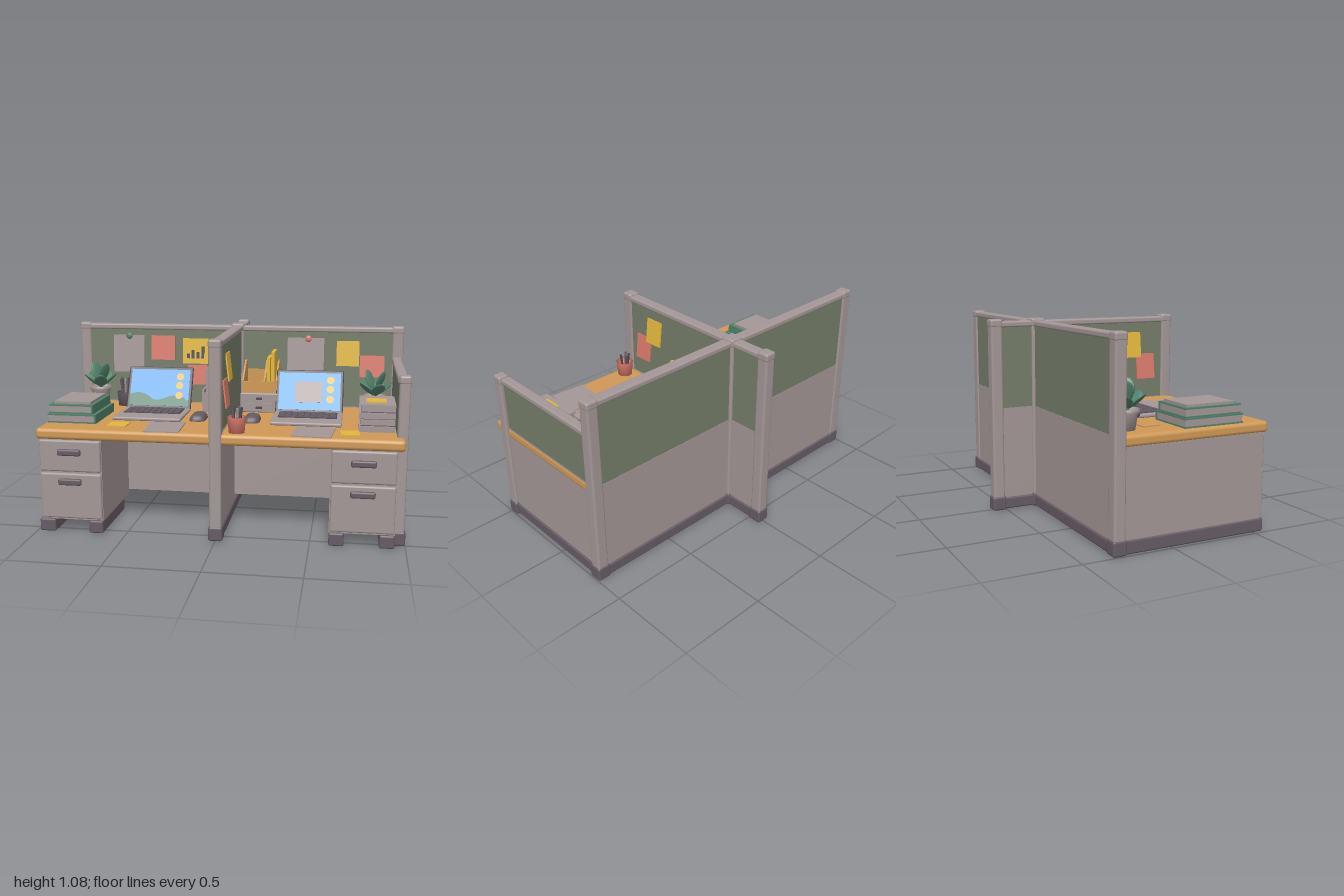
import * as THREE from 'three';
import { RoundedBoxGeometry } from 'three/addons/geometries/RoundedBoxGeometry.js';

const paint = (name, color) => Object.assign(new THREE.MeshStandardMaterial({ color }), { name });
const M = {
  grey: paint('warm grey', 0xa49797), base: paint('dark base grey', 0x665c64),
  felt: paint('sage felt', 0x767e6a), wood: paint('light wood', 0xd09955),
  dark: paint('charcoal', 0x4e4a52), yellow: paint('yellow', 0xe2b83b),
  red: paint('coral red', 0xda7a6b), blue: paint('screen blue', 0x5ca8ec),
  leaf: paint('leaf green', 0x51826b),
};
const TOP = 0.585; // desk surface
const points = list => list.map(p => new THREE.Vector2(...p));

function add(parent, name, geo, mat, x = 0, y = 0, z = 0) {
  const m = new THREE.Mesh(geo, mat);
  m.name = name;
  m.position.set(x, y, z);
  parent.add(m);
  return m;
}
// Box from its extents, with softened edges when r > 0
function box(parent, name, mat, [x0, x1], [y0, y1], [z0, z1], r = 0) {
  const s = [x1 - x0, y1 - y0, z1 - z0];
  const geo = r ? new RoundedBoxGeometry(...s, 2, r) : new THREE.BoxGeometry(...s);
  return add(parent, name, geo, mat, (x0 + x1) / 2, (y0 + y1) / 2, (z0 + z1) / 2);
}
function group(parent, name, x = 0, y = 0, z = 0) {
  const g = new THREE.Group();
  g.name = name;
  g.position.set(x, y, z);
  parent.add(g);
  return g;
}

// Upright with dark foot and cap
function post(parent, x, z, h, w) {
  const g = group(parent, 'post', x, 0, z), a = w / 2;
  box(g, 'postShaft', M.grey, [-a, a], [0.03, h - 0.02], [-a, a], 0.012);
  box(g, 'postCap', M.grey, [-a - 0.002, a + 0.002], [h - 0.045, h], [-a - 0.002, a + 0.002], 0.012);
  box(g, 'postFoot', M.base, [-a - 0.006, a + 0.006], [0, 0.08], [-a - 0.006, a + 0.006], 0.012);
}
// Partition running along x or z: base, lower panel, felt, top rail
function wall(parent, name, alongX, at, [a, b], h, t) {
  const g = group(parent, name);
  const slab = (n, mat, y, w, r) => alongX
    ? box(g, n, mat, [a, b], y, [at - w / 2, at + w / 2], r)
    : box(g, n, mat, [at - w / 2, at + w / 2], y, [a, b], r);
  slab('baseRail', M.base, [0.005, 0.07], t + 0.02, 0.01);
  slab('lowerPanel', M.grey, [0.065, TOP], t, 0);
  slab('feltPanel', M.felt, [TOP, h - 0.03], t - 0.004, 0);
  slab('topRail', M.grey, [h - 0.04, h - 0.007], t + 0.014, 0.01);
}

// Pedestal of two drawers between x0 and x1
function cabinet(parent, x0, x1) {
  const g = group(parent, 'drawerCabinet'), c = (x0 + x1) / 2;
  box(g, 'cabinetBody', M.grey, [x0, x1], [0.07, 0.53], [0.03, 0.545]);
  for (const [y0, y1, hy] of [[0.345, 0.52, 0.455], [0.08, 0.335, 0.29]]) {
    box(g, 'drawerFront', M.grey, [x0 + 0.005, x1 - 0.003], [y0, y1], [0.535, 0.562], 0.01);
    box(g, 'drawerHandle', M.base, [c - 0.065, c + 0.065], [hy - 0.018, hy + 0.018], [0.555, 0.58], 0.01);
  }
  for (const x of [x0 + 0.04, x1 - 0.04])
    box(g, 'runner', M.base, [x - 0.04, x + 0.04], [0, 0.072], [0.13, 0.56], 0.01);
}

function laptop(parent, x, hills) {
  const g = group(parent, 'laptop', x, TOP, 0);
  box(g, 'laptopBase', M.grey, [-0.195, 0.195], [0, 0.02], [0.01, 0.315], 0.008);
  box(g, 'keyBed', M.dark, [-0.165, 0.165], [0.019, 0.022], [0.035, 0.19]);
  for (let row = 0; row < 4; row++) for (let k = 0; k < 9; k++)
    box(g, 'key', M.base, [-0.159 + k * 0.0355, -0.127 + k * 0.0355], [0.02, 0.026], [0.042 + row * 0.036, 0.072 + row * 0.036]);
  const lid = group(g, 'laptopLid', 0, 0.012, 0.025);
  lid.rotation.x = -0.45;
  box(lid, 'lidShell', M.dark, [-0.195, 0.195], [0, 0.262], [-0.018, 0], 0.008);
  box(lid, 'screen', M.blue, [-0.178, 0.178], [0.02, 0.244], [-0.002, 0.002]);
  if (hills) {
    const s = new THREE.Shape(points([[-0.178, 0.02], [0.178, 0.02], [0.178, 0.05]]));
    s.bezierCurveTo(0.08, 0.14, 0.03, 0.03, -0.04, 0.06);
    s.bezierCurveTo(-0.08, 0.1, -0.13, 0.11, -0.178, 0.085);
    add(lid, 'hills', new THREE.ShapeGeometry(s), M.leaf, 0, 0, 0.003);
  } else box(lid, 'screenWindow', M.grey, [-0.085, 0.075], [0.065, 0.19], [0.002, 0.004]);
  for (const y of [0.085, 0.145, 0.2])
    add(lid, 'screenIcon', new THREE.CircleGeometry(0.022, 20), M.yellow, 0.12, y, 0.005);
}

function cup(parent, x, z, mat, penLength) {
  const g = group(parent, 'penCup', x, TOP, z);
  const prof = [[0, 0], [0.042, 0], [0.05, 0.085], [0.043, 0.085], [0.038, 0.02], [0, 0.02]];
  add(g, 'cup', new THREE.LatheGeometry(points(prof), 20), mat);
  [M.dark, M.grey, M.base, M.dark, M.base].forEach((m, i) => {
    const a = i * 1.26, geo = new THREE.CylinderGeometry(0.007, 0.007, penLength, 8);
    const p = add(g, 'pen', geo, m, Math.cos(a) * 0.02, 0.02 + penLength / 2, Math.sin(a) * 0.02);
    p.rotation.set(Math.sin(a) * 0.12, 0, -Math.cos(a) * 0.12);
  });
}

function plant(parent, x, z) {
  const g = group(parent, 'pottedPlant', x, TOP, z);
  const prof = [[0, 0], [0.045, 0], [0.058, 0.085], [0.065, 0.085], [0.065, 0.105], [0.052, 0.105], [0.05, 0.09], [0, 0.09]];
  add(g, 'pot', new THREE.LatheGeometry(points(prof), 20), M.grey);
  // Leaves are flattened ellipsoids fanning out from the pot
  const leafGeo = new THREE.SphereGeometry(1, 14, 8).translate(0, 1, 0).scale(0.039, 0.057, 0.009);
  for (let i = 0; i < 7; i++) {
    const low = i < 5, stem = group(g, 'leafStem', 0, 0.095, 0);
    stem.rotation.set(low ? 0.85 : 0.35, low ? i * 1.257 + 0.3 : i * 3.14 + 1, 0, 'YXZ');
    add(stem, 'stalk', new THREE.CylinderGeometry(0.005, 0.005, 0.06, 6), M.leaf, 0, 0.025, 0);
    add(stem, 'leaf', leafGeo, M.leaf, 0, low ? 0.02 : 0.05, 0);
  }
}

// Flat sheet lying on a surface
function sheet(parent, name, mat, x, z, w, d, y = TOP, turn = 0) {
  add(parent, name, new THREE.BoxGeometry(w, 0.006, d), mat, x, y + 0.003, z).rotation.y = turn;
}

export function createModel() {
  const root = new THREE.Group();
  root.name = 'doubleWorkstation';

  // Partitions
  const walls = group(root, 'partitions');
  wall(walls, 'backWall', true, -0.297, [-0.96, 0.96], 1.075, 0.05);
  wall(walls, 'centreWall', false, 0, [-0.545, 0.55], 1.075, 0.05);
  wall(walls, 'sideWall', false, 0.955, [-0.29, 0.48], 0.9, 0.04);
  for (const [x, z, h, w] of [[-0.96, -0.297, 1.075, 0.066], [0.96, -0.297, 1.075, 0.066],
    [0, -0.297, 1.08, 0.076], [0, 0.547, 1.08, 0.066], [0, -0.542, 1.08, 0.066], [0.965, 0.478, 0.905, 0.058]])
    post(walls, x, z, h, w);

  // Desk and storage
  const desk = group(root, 'desk');
  box(desk, 'deskTopRight', M.wood, [-0.983, -0.02], [0.525, TOP], [-0.275, 0.575], 0.02);
  box(desk, 'deskTopLeft', M.wood, [0.02, 0.979], [0.525, TOP], [-0.265, 0.575], 0.02);
  // Closed housing behind the knee space
  for (const x of [[-0.96, -0.02], [0.02, 0.94]])
    box(desk, 'kneeSpaceHousing', M.grey, x, [0.095, 0.53], [-0.275, 0.03]);
  cabinet(desk, -0.975, -0.625);
  cabinet(desk, 0.6, 0.943);
  box(desk, 'endPanel', M.grey, [-0.978, -0.945], [0.07, 0.53], [-0.27, 0.54]);
  box(desk, 'endRunner', M.base, [-0.985, -0.905], [0, 0.072], [-0.27, 0.56], 0.01);

  // Notes pinned to the back wall, lower edge curling out: x range, y range
  const notes = group(root, 'pinnedNotes');
  for (const [mat, x, y, chart] of [[M.grey, [-0.78, -0.585], [0.77, 1]], [M.red, [-0.54, -0.39], [0.85, 1]],
    [M.yellow, [-0.34, -0.18], [0.83, 0.985], true], [M.red, [-0.31, -0.19], [0.7, 0.82]], [M.grey, [0.305, 0.525], [0.78, 1]],
    [M.yellow, [0.6, 0.735], [0.835, 0.985]], [M.red, [0.74, 0.885], [0.77, 0.9]]]) {
    const note = box(notes, 'wallNote', mat, x, y, [-0.268, -0.26]);
    note.rotation.x = -0.09;
    if (chart) [0.03, 0.05, 0.04, 0.075].forEach((h, i) =>
      box(note, 'chartBar', M.dark, [-0.055 + i * 0.03, -0.037 + i * 0.03], [-0.045, h - 0.045], [0.003, 0.007]));
  }
  for (const [x, mat] of [[-0.68, M.leaf], [0.43, M.red]])
    add(notes, 'pin', new THREE.SphereGeometry(0.02, 12, 8).scale(1, 1, 0.5), mat, x, 0.995, -0.266);
  // Notes on both faces of the centre wall
  for (const s of [-1, 1]) for (const [mat, y, z] of [[M.yellow, 0.905, 0.305], [M.red, 0.775, 0.4]])
    add(notes, 'sideNote', new THREE.BoxGeometry(0.008, 0.15, 0.12), mat, s * 0.034, y, z).rotation.z = s * 0.11;

  // Items on the desk
  const items = group(root, 'deskItems');
  laptop(items, -0.435, true);
  laptop(items, 0.455, false);
  for (const x of [-0.155, 0.15])
    box(items, 'mouse', M.base, [x - 0.045, x + 0.045], [TOP - 0.035, TOP + 0.035], [0.125, 0.285], 0.034);
  cup(items, 0.105, 0.505, M.red, 0.115);
  cup(items, -0.675, -0.13, M.base, 0.145);
  plant(items, -0.85, -0.19);
  plant(items, 0.83, -0.12);
  sheet(items, 'paper', M.grey, -0.295, 0.455, 0.19, 0.235, TOP, 0.05);
  sheet(items, 'paper', M.grey, 0.505, 0.455, 0.21, 0.225, TOP, -0.08);
  sheet(items, 'stickyNote', M.yellow, -0.56, 0.42, 0.105, 0.105);
  sheet(items, 'stickyNote', M.yellow, 0.695, 0.45, 0.1, 0.1, TOP, 0.05);
  sheet(items, 'coaster', M.wood, -0.795, -0.04, 0.1, 0.1);

  // Stack of green bound books
  for (const [x0, x1, z0, z1, y] of [[-0.965, -0.69, 0.075, 0.425, 0], [-0.96, -0.71, 0.08, 0.41, 0.05]]) {
    const b = group(items, 'book', 0, TOP + y, 0);
    for (const c of [0, 0.042]) box(b, 'bookCover', M.leaf, [x0, x1], [c, c + 0.008], [z0, z1]);
    box(b, 'bookSpine', M.leaf, [x1 - 0.01, x1], [0, 0.05], [z0, z1]);
    box(b, 'bookPages', M.grey, [x0 + 0.005, x1 - 0.008], [0.006, 0.044], [z0 + 0.005, z1 - 0.003]);
  }
  box(items, 'looseSheets', M.grey, [-0.94, -0.73], [TOP + 0.098, TOP + 0.113], [0.1, 0.38]);

  // Stack of papers beside the low wall
  for (let i = 0; i < 4; i++) {
    const y = TOP + i * 0.036, inset = (i % 2) * 0.01;
    box(items, 'paperBundle', M.grey, [0.74 + inset, 0.93], [y, y + 0.03], [0.135, 0.4 - inset]);
    box(items, 'bundleDivider', M.base, [0.75, 0.93], [y + 0.03, y + 0.036], [0.14, 0.385]);
  }
  box(items, 'paperStackTop', M.grey, [0.74, 0.93], [0.724, 0.732], [0.135, 0.4]);
  sheet(items, 'stickyNote', M.yellow, 0.83, 0.29, 0.105, 0.105, 0.732);

  // File rack with blue folders
  const rack = group(items, 'fileRack');
  box(rack, 'rackFloor', M.base, [-0.17, -0.03], [TOP, 0.6], [-0.24, 0.015]);
  for (const x of [-0.17, -0.042]) box(rack, 'rackSide', M.grey, [x, x + 0.012], [TOP, 0.72], [-0.24, 0.015]);
  box(rack, 'rackFront', M.grey, [-0.17, -0.03], [TOP, 0.7], [0.005, 0.017]);
  [[M.grey, 0.84], [M.blue, 0.87], [M.blue, 0.88], [M.grey, 0.85], [M.dark, 0.87]].forEach(([m, h], i) =>
    box(rack, 'folder', m, [-0.153 + i * 0.022, -0.135 + i * 0.022], [0.6, h], [-0.225, -0.01]));

  // Small drawer unit carrying a wooden magazine holder and yellow folders
  const unit = group(items, 'drawerUnit');
  box(unit, 'unitBody', M.grey, [0.05, 0.275], [TOP, 0.7], [-0.245, -0.015], 0.008);
  for (const y of [0.592, 0.646]) {
    box(unit, 'smallDrawer', M.grey, [0.06, 0.265], [y, y + 0.048], [-0.02, -0.008]);
    box(unit, 'smallKnob', M.dark, [0.145, 0.18], [y + 0.018, y + 0.03], [-0.01, 0]);
  }
  const side = new THREE.Shape(points([[0.03, 0], [0.225, 0], [0.225, 0.17], [0.17, 0.17], [0.03, 0.07]]));
  for (const x of [0.058, 0.185, 0.255])
    add(unit, 'holderSide', new THREE.ExtrudeGeometry(side, { depth: 0.01, bevelEnabled: false }).rotateY(Math.PI / 2), M.wood, x, 0.7, -0.01);
  box(unit, 'holderFloor', M.wood, [0.058, 0.265], [0.698, 0.708], [-0.235, -0.04]);
  box(unit, 'holderBack', M.wood, [0.058, 0.265], [0.7, 0.81], [-0.24, -0.23]);
  box(unit, 'holderFront', M.wood, [0.058, 0.265], [0.7, 0.765], [-0.045, -0.035]);
  for (const [x, h] of [[0.2, 0.9], [0.226, 0.935]])
    box(unit, 'yellowFolder', M.yellow, [x, x + 0.02], [0.708, h], [-0.228, -0.07]);
  return root;
}
